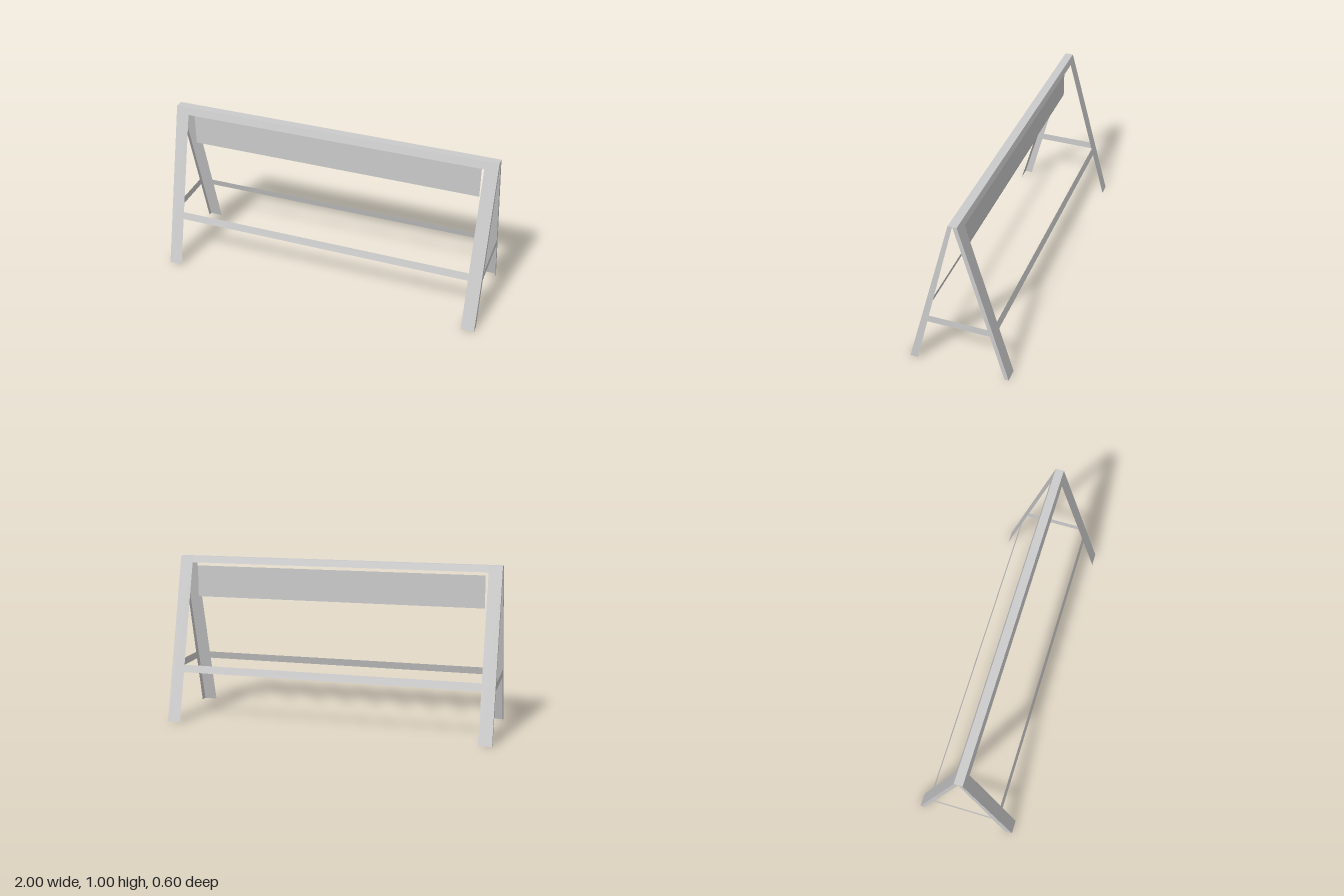
import * as THREE from 'three';

const metal = new THREE.MeshStandardMaterial({ color: 0xcccccc, side: THREE.DoubleSide, flatShading: true });

// thin sheet from four corners given in loop order
function sheet(name, corners) {
  const g = new THREE.BufferGeometry();
  g.setAttribute('position', new THREE.Float32BufferAttribute(corners.flat(), 3));
  g.setIndex([0, 1, 2, 0, 2, 3]);
  g.computeVertexNormals();
  const mesh = new THREE.Mesh(g, metal);
  mesh.name = name;
  return mesh;
}

// depth of the sloping outer plane at a given height
const slope = (y) => 0.3 - 0.275 * y;

// sheet lying in the sloping plane of one side (s = +1 front, -1 back)
function slopedSheet(name, s, x0, x1, y0, y1) {
  const a = s * slope(y0), b = s * slope(y1);
  const c = [[x0, y0, a], [x1, y0, a], [x1, y1, b], [x0, y1, b]];
  return sheet(name, s > 0 ? c : c.reverse());
}

// sheet in the end plane x = side, outward facing
function endSheet(name, side, zy) {
  const c = zy.map(([z, y]) => [side, y, z]);
  return sheet(name, side > 0 ? c : c.reverse());
}

export function createModel() {
  const model = new THREE.Group();
  const inner = 0.92;

  for (const s of [1, -1]) {
    const label = s > 0 ? 'front' : 'back';
    const foot = s > 0 ? 0.253 : 0.275; // flange inner edge at the ground

    // angle-section legs: sloping face plus end flange
    for (const side of [1, -1]) {
      const leg = new THREE.Group();
      leg.name = `${label}${side > 0 ? 'Left' : 'Right'}Leg`;
      leg.add(slopedSheet('legFace', s, Math.min(side, side * inner), Math.max(side, side * inner), 0, 1));
      const flange = [[0.3, 0], [foot, 0], [0, 1], [0.025, 1]].map(([z, y]) => [s * z, y]);
      leg.add(endSheet('legFlange', side, s > 0 ? flange : flange.reverse()));
      model.add(leg);
    }

    // long lower rail and folded lip of the top beam
    model.add(slopedSheet(`${label}Rail`, s, -inner, inner, 0.3, 0.345));
    model.add(slopedSheet(`${label}BeamLip`, s, -inner, inner, s > 0 ? 0.955 : 0.963, 1));
  }

  // flat top of the beam
  model.add(sheet('beamTop', [[-1, 1, 0.025], [1, 1, 0.025], [1, 1, -0.025], [-1, 1, -0.025]]));

  // hanging vertical panel
  model.add(sheet('panel', [[-0.9, 0.745, 0], [0.9, 0.745, 0], [0.9, 0.94, 0], [-0.9, 0.94, 0]]));

  // cross braces between front and back legs
  for (const side of [1, -1]) {
    model.add(endSheet(side > 0 ? 'leftBrace' : 'rightBrace', side,
      [[0.177, 0.3], [-0.194, 0.3], [-0.181, 0.345], [0.166, 0.345]]));
  }
  return model;
}
